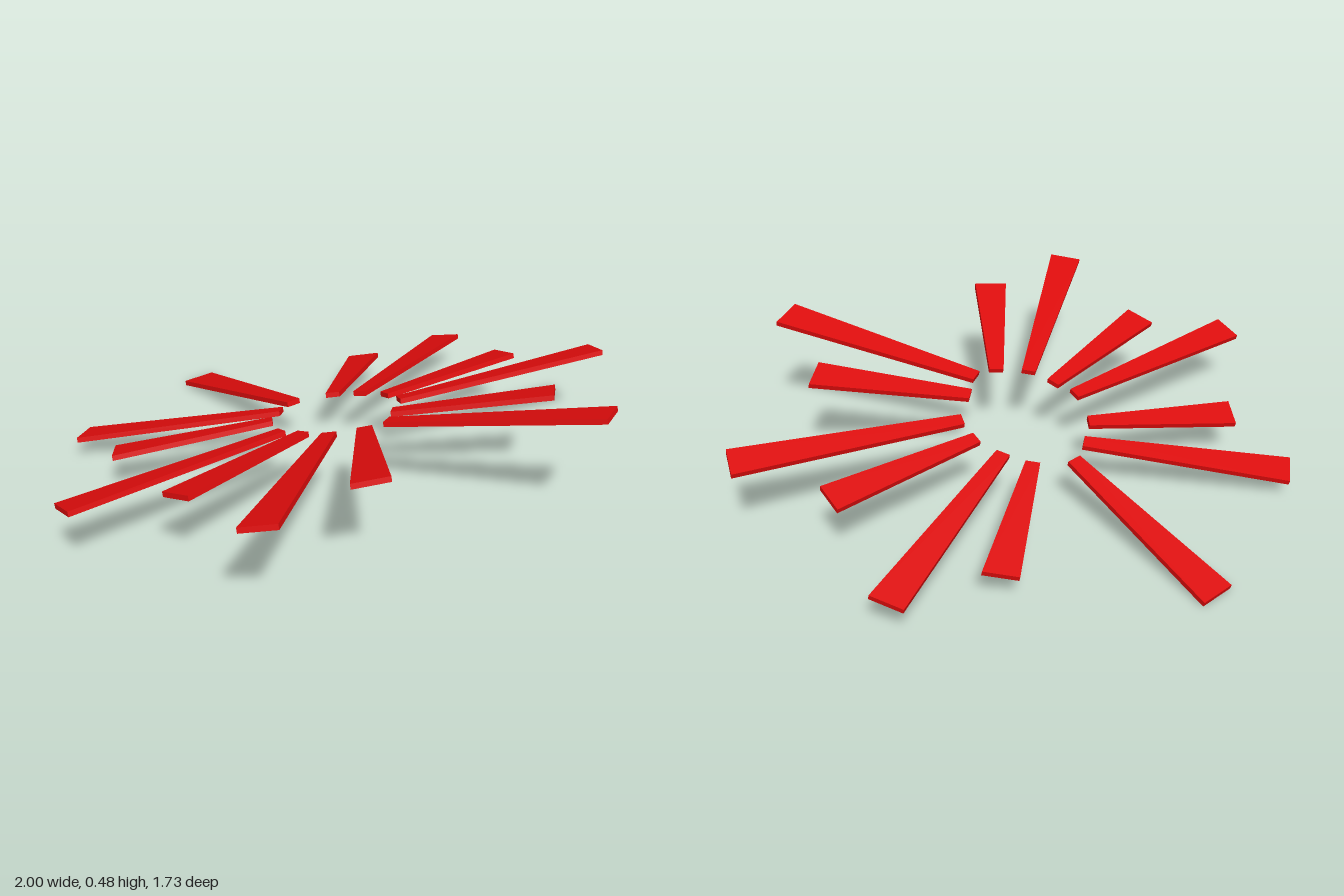
import * as THREE from 'three';

const TILT = THREE.MathUtils.degToRad(15);
const SQUASH = 0.84;        // the burst is slightly flattened front to back
const THICKNESS = 0.018;
const INNER_WIDTH = 0.053;
const OUTER_WIDTH = 0.125;

// Midpoints of each ray's inner and outer end: [innerX, innerZ, outerX, outerZ]
const RAYS = [
  [-0.002, -0.215, -0.032, -0.862],
  [0.13, -0.158, 0.505, -0.465],
  [0.192, -0.078, 0.855, -0.375],
  [0.228, 0.019, 0.79, 0.034],
  [0.219, 0.109, 0.981, 0.306],
  [0.122, 0.194, 0.542, 0.525],
  [0.048, 0.258, 0.467, 0.834],
  [-0.036, 0.25, -0.312, 0.641],
  [-0.135, 0.19, -0.695, 0.642],
  [-0.178, 0.104, -0.724, 0.228],
  [-0.21, 0.024, -1, 0.018],
  [-0.165, -0.104, -0.665, -0.323],
  [-0.085, -0.17, -0.645, -0.622],
];

// One flat tapered bar, drawn in the burst's plane and extruded
function rayGeometry([ix, iz, ox, oz]) {
  const along = new THREE.Vector2(ox - ix, (oz - iz) / SQUASH).normalize();
  const corner = (x, z, offset) => new THREE.Vector2(
    x - along.y * offset,
    -(z + along.x * offset * SQUASH) / Math.cos(TILT)
  );
  const shape = new THREE.Shape([
    corner(ix, iz, -INNER_WIDTH / 2),
    corner(ix, iz, INNER_WIDTH / 2),
    corner(ox, oz, OUTER_WIDTH / 2),
    corner(ox, oz, -OUTER_WIDTH / 2),
  ]);
  const geometry = new THREE.ExtrudeGeometry(shape, { depth: THICKNESS, bevelEnabled: false });
  geometry.translate(0, 0, -THICKNESS / 2);
  geometry.rotateX(-Math.PI / 2);
  return geometry;
}

export function createModel() {
  const model = new THREE.Group();
  model.name = 'sunburst';

  // The whole ring of rays leans up towards the front
  const burst = new THREE.Group();
  burst.name = 'rayRing';
  burst.position.y = 0.24;
  burst.rotation.x = -TILT;
  model.add(burst);

  const red = new THREE.MeshStandardMaterial({ color: 0xdd0c0c });
  RAYS.forEach((ends, i) => {
    const ray = new THREE.Mesh(rayGeometry(ends), red);
    ray.name = `ray${i + 1}`;
    burst.add(ray);
  });
  return model;
}
